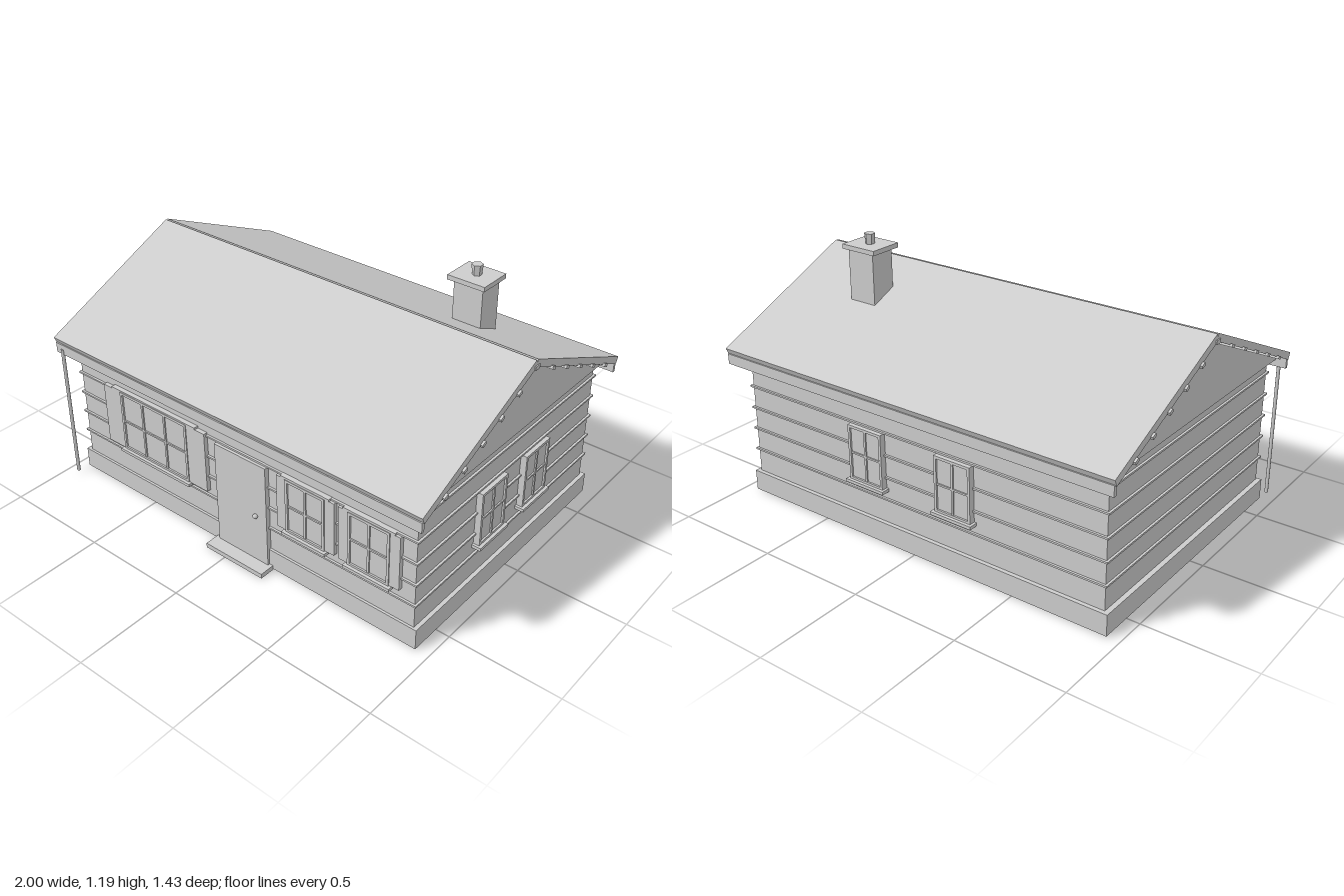
import * as THREE from 'three';

const plaster = new THREE.MeshStandardMaterial({ color: 0xcccccc });
plaster.name = 'light grey';

function add(parent, name, geometry) {
  const mesh = new THREE.Mesh(geometry, plaster);
  mesh.name = name;
  parent.add(mesh);
  return mesh;
}

// Box given by its limits on each axis
function box(parent, name, x0, x1, y0, y1, z0, z1) {
  const mesh = add(parent, name, new THREE.BoxGeometry(x1 - x0, y1 - y0, z1 - z0));
  mesh.position.set((x0 + x1) / 2, (y0 + y1) / 2, (z0 + z1) / 2);
  return mesh;
}

// Window facing +z with its wall at z = 0: pane, frame, cross bars, sill
function makeWindow(name, width, y0, y1, columns = 2) {
  const g = new THREE.Group();
  g.name = name;
  const h = width / 2, f = 0.012, mid = (y0 + y1) / 2;
  box(g, 'pane', -h, h, y0, y1, -0.01, 0.012);
  for (const s of [-1, 1]) {
    const x = s * (h - f / 2);
    box(g, 'frameSide', x - f / 2, x + f / 2, y0, y1, 0, 0.02);
  }
  box(g, 'frameTop', -h, h, y1 - f, y1, 0, 0.02);
  box(g, 'frameBottom', -h, h, y0, y0 + f, 0, 0.02);
  for (let i = 1; i < columns; i++) {
    const x = -h + (width * i) / columns;
    box(g, 'mullion', x - 0.005, x + 0.005, y0, y1, 0, 0.018);
  }
  box(g, 'transom', -h, h, mid - 0.004, mid + 0.004, 0, 0.018);
  box(g, 'sill', -h - 0.012, h + 0.012, y0 - 0.012, y0 + 0.002, -0.01, 0.034);
  return g;
}

// Shutters on both sides of a window and a header board above
function addShutters(g, width, shutter, y0, y1) {
  const h = width / 2;
  for (const s of [-1, 1]) {
    const x = s * (h + shutter / 2);
    box(g, 'shutter', x - shutter / 2, x + shutter / 2, y0, y1 - 0.01, -0.01, 0.016);
  }
  box(g, 'header', -h - shutter / 2, h + shutter / 2, y1 - 0.01, y1, -0.01, 0.018);
}

export function createModel() {
  const house = new THREE.Group();
  house.name = 'house';
  const wallX = 0.922, wallZ = 0.632;

  // Plinth, walls and board joints
  box(house, 'plinth', -0.944, 0.94, 0.005, 0.1, -0.65, 0.643);
  box(house, 'walls', -wallX, wallX, 0.1, 0.668, -wallZ, wallZ);
  for (const y of [0.212, 0.315, 0.417, 0.52, 0.622]) {
    box(house, 'boardJoint', -wallX - 0.01, wallX + 0.01, y - 0.004, y + 0.004, -wallZ - 0.01, wallZ + 0.01);
  }

  // Gable prism under the roof
  const profile = new THREE.Shape();
  profile.moveTo(-0.69, 0.665);
  profile.lineTo(0.69, 0.665);
  profile.lineTo(0.69, 0.682);
  profile.lineTo(0, 0.989);
  profile.lineTo(-0.69, 0.682);
  const gableGeometry = new THREE.ExtrudeGeometry(profile, { depth: 1.87, bevelEnabled: false });
  gableGeometry.translate(0, 0, -0.935);
  gableGeometry.rotateY(Math.PI / 2);
  add(house, 'gables', gableGeometry);

  // Two roof halves with purlins and eaves boards
  const pitch = 0.42;
  for (const side of ['front', 'back']) {
    const half = new THREE.Group();
    half.name = side + 'Roof';
    if (side === 'back') half.rotation.y = Math.PI;
    const slab = box(half, 'roofSlab', -0.99, 0.99, 0.8325, 0.8655, -0.035, 0.737);
    slab.rotation.x = pitch;
    for (const z of [0.58, 0.465, 0.35, 0.235, 0.12]) {
      const y = 0.987 - 0.447 * z;
      const purlin = box(half, 'purlin', -1, 1, y - 0.007, y + 0.007, z - 0.012, z + 0.012);
      purlin.rotation.x = pitch;
    }
    box(half, 'eavesBoard', -0.985, 0.985, 0.635, 0.682, 0.69, 0.705);
    house.add(half);
  }
  box(house, 'ridgeBeam', -0.995, 0.995, 0.98, 0.998, -0.015, 0.015);

  // Chimney with cap and hexagonal pot
  const chimney = new THREE.Group();
  chimney.name = 'chimney';
  box(chimney, 'chimneyStack', 0.488, 0.625, 0.84, 1.125, -0.295, -0.175);
  box(chimney, 'chimneyCap', 0.465, 0.643, 1.123, 1.144, -0.313, -0.157);
  const potGeometry = new THREE.CylinderGeometry(0.024, 0.02, 0.05, 6).toNonIndexed();
  potGeometry.computeVertexNormals();
  add(chimney, 'chimneyPot', potGeometry).position.set(0.555, 1.165, -0.235);
  house.add(chimney);

  // Front windows with shutters
  const large = makeWindow('largeFrontWindow', 0.4, 0.24, 0.535, 3);
  addShutters(large, 0.4, 0.105, 0.24, 0.542);
  large.position.set(-0.45, 0, wallZ + 0.004);
  house.add(large);
  for (const x of [0.397, 0.712]) {
    const small = makeWindow('smallFrontWindow', 0.2, 0.258, 0.515);
    addShutters(small, 0.2, 0.047, 0.262, 0.525);
    small.position.set(x, 0, wallZ + 0.004);
    house.add(small);
  }

  // Back and side windows
  for (const x of [0.24, -0.22]) {
    const back = makeWindow('backWindow', 0.18, 0.262, 0.515);
    back.rotation.y = Math.PI;
    back.position.set(x, 0, -wallZ - 0.008);
    house.add(back);
  }
  for (const z of [0.155, -0.163]) {
    const sideWindow = makeWindow('sideWindow', 0.18, 0.262, 0.515);
    sideWindow.rotation.y = Math.PI / 2;
    sideWindow.position.set(wallX + 0.008, 0, z);
    house.add(sideWindow);
  }

  // Door, knob and step
  box(house, 'door', -0.086, 0.192, 0.02, 0.515, 0.62, 0.654);
  add(house, 'doorKnob', new THREE.SphereGeometry(0.011, 12, 8)).position.set(0.136, 0.255, 0.66);
  box(house, 'doorStep', -0.105, 0.21, 0, 0.022, 0.62, 0.715);

  // Drainpipe at the front corner
  const pipe = add(house, 'drainpipe', new THREE.CylinderGeometry(0.008, 0.008, 0.65, 12));
  pipe.position.set(-0.947, 0.335, 0.704);

  return house;
}
